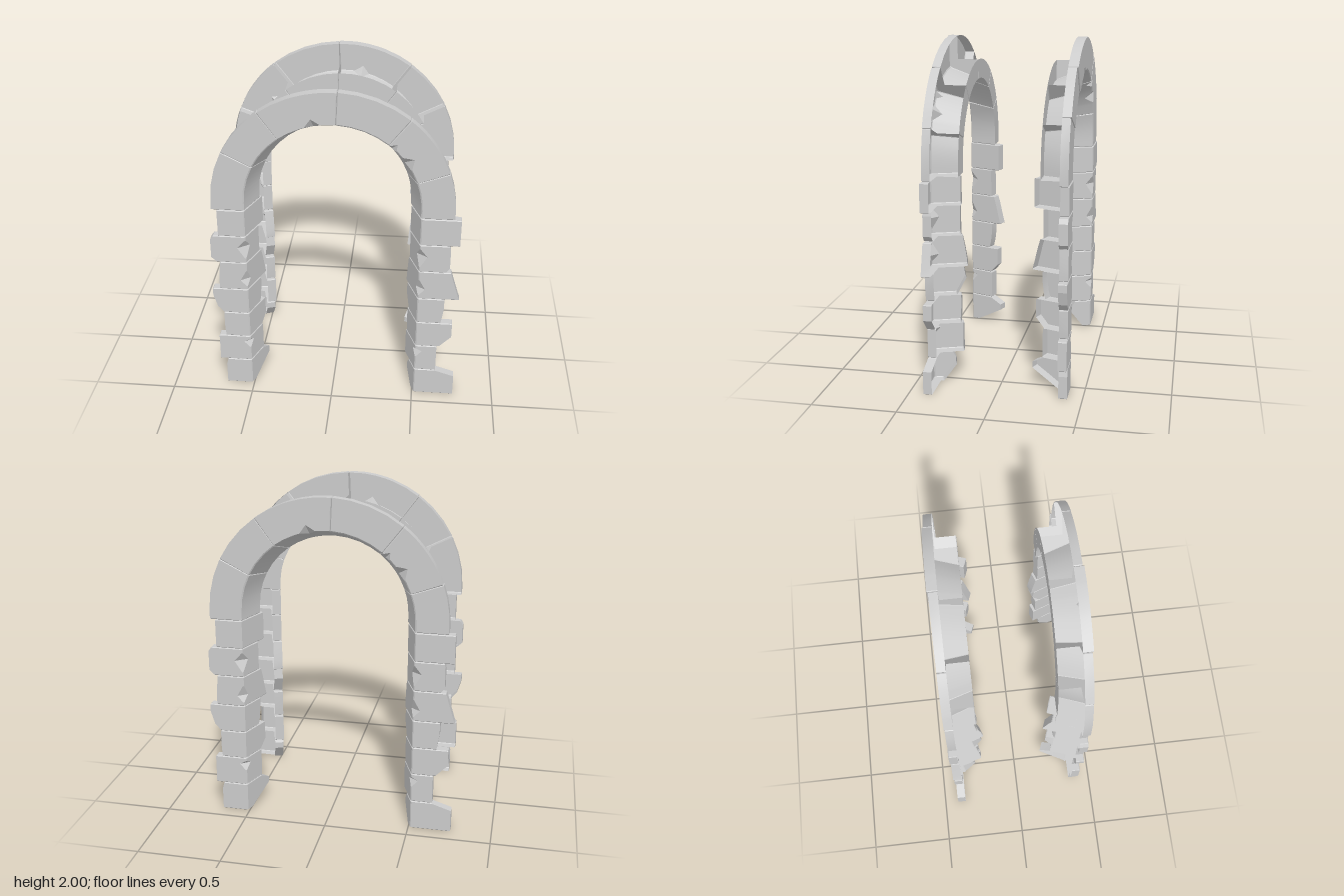
import * as THREE from 'three';
import { toCreasedNormals } from 'three/addons/utils/BufferGeometryUtils.js';

// Stones are shells, open at the back of the L
const stone = new THREE.MeshStandardMaterial({ color: 0xcccccc, side: THREE.DoubleSide });
const SPRING = 1.3; // height of the arch centre
const rad = THREE.MathUtils.degToRad;

// Skins seven-cornered L-shaped rings, leaving the two inner walls open, and caps both ends
function loft(rings, name, mirrored = false) {
  const pos = [];
  const tri = (a, b, c) => (mirrored ? pos.push(...a, ...c, ...b) : pos.push(...a, ...b, ...c));
  for (let i = 0; i < rings.length - 1; i++) {
    const p = rings[i], q = rings[i + 1];
    for (const [j, k] of [[0, 1], [1, 2], [2, 3], [5, 6], [6, 0]]) {
      tri(p[j], p[k], q[k]);
      tri(p[j], q[k], q[j]);
    }
  }
  const s = rings[0], e = rings[rings.length - 1];
  for (const [a, b, c] of [[1, 2, 3], [1, 3, 4], [0, 1, 4], [0, 4, 5], [0, 5, 6]]) {
    tri(s[c], s[b], s[a]);
    tri(e[a], e[b], e[c]);
  }
  const geo = new THREE.BufferGeometry();
  geo.setAttribute('position', new THREE.Float32BufferAttribute(pos, 3));
  const mesh = new THREE.Mesh(toCreasedNormals(geo, 0.2), stone);
  mesh.name = name;
  return mesh;
}

// The splayed reveal: distance from the axis at depth z
const reveal = z => 0.51 - 0.37 * (0.41 - z);

// Plan of a pillar stone: face plate plus a slanted return reaching back to z
function pillarSection(outer, reach, chip, inset) {
  const face = 0.413 - inset, c = Math.max(chip, 0.005) + inset;
  const zf = Math.min(reach + 0.02 + inset, 0.37), xf = reveal(zf) + inset;
  return [
    [reveal(face - c) + inset, face - c],
    [0.511 + c, face],
    [outer - inset, face],
    [outer - inset, 0.362],
    [0.55, 0.362],
    [xf + 0.053, Math.min(zf - 0.02, 0.352)],
    [xf, zf],
  ];
}

// levels: [y, outer x, return depth, chip]; the ends get a small bevel
function pillarStone(levels, side, name) {
  const ring = ([y, o, r, c = 0], inset, dy) =>
    pillarSection(o, r, c, inset).map(([x, z]) => [x * side, y + dy, z]);
  const first = levels[0], last = levels[levels.length - 1];
  return loft([
    ring(first, 0.004, 0),
    ring(first, 0, 0.004),
    ...levels.slice(1, -1).map(l => ring(l, 0, 0)),
    ring(last, 0, -0.004),
    ring(last, 0.004, 0),
  ], name, side < 0);
}

// Stones from the ground up
const leftStones = [
  [[0, 0.755, 0.34], [0.1, 0.755, 0.27], [0.14, 0.755, 0.27], [0.18, 0.64, 0.29]],
  [[0.182, 0.64, 0.225], [0.28, 0.64, 0.225], [0.32, 0.64, 0.225, 0.04], [0.34, 0.64, 0.225], [0.361, 0.64, 0.225]],
  [[0.363, 0.655, 0.24], [0.44, 0.725, 0.235], [0.535, 0.725, 0.235]],
  [[0.537, 0.655, 0.26], [0.64, 0.67, 0.21], [0.708, 0.67, 0.22]],
  [[0.71, 0.755, 0.2], [0.735, 0.747, 0.2], [0.775, 0.735, 0.205, 0.04], [0.84, 0.715, 0.215], [0.897, 0.7, 0.225]],
  [[0.899, 0.67, 0.235], [0.93, 0.69, 0.235], [1.0, 0.69, 0.235, 0.045], [1.05, 0.69, 0.235], [1.077, 0.685, 0.235]],
  [[1.079, 0.74, 0.23], [1.25, 0.74, 0.23]],
];
const rightStones = [
  [[0, 0.67, 0.345], [0.1, 0.67, 0.18], [0.137, 0.67, 0.18], [0.18, 0.66, 0.25]],
  [[0.182, 0.705, 0.245], [0.28, 0.705, 0.245], [0.32, 0.705, 0.245, 0.04], [0.34, 0.705, 0.245], [0.361, 0.705, 0.245]],
  [[0.363, 0.66, 0.25], [0.42, 0.665, 0.203], [0.535, 0.665, 0.203]],
  [[0.537, 0.665, 0.26], [0.58, 0.7, 0.25], [0.66, 0.725, 0.24], [0.708, 0.725, 0.24]],
  [[0.71, 0.68, 0.18], [0.735, 0.68, 0.185], [0.775, 0.68, 0.195, 0.04], [0.84, 0.675, 0.21], [0.897, 0.67, 0.225]],
  [[0.899, 0.69, 0.245], [0.93, 0.72, 0.245], [1.0, 0.72, 0.245, 0.05], [1.05, 0.72, 0.245], [1.077, 0.705, 0.245]],
  [[1.079, 0.67, 0.19], [1.25, 0.67, 0.19]],
];

// Radial section of the arch as [radius, z]
function archSection(face, chip, inset) {
  const c = Math.max(chip, 0.005) + inset, f = face - inset;
  return [
    [reveal(f - c) + inset, f - c],
    [0.511 + c, f],
    [0.702 - inset, f],
    [0.702 - inset, 0.362],
    [0.562, 0.362],
    [0.562, 0.235 + inset],
    [0.446 + inset, 0.235 + inset],
  ];
}

// Sweeps from angle a to b in degrees; drop lengthens an end down to the pillar.
// chips: [angle, size, half width in degrees]
function archStone({ a, b, face, chips = [], drop }, name) {
  const ring = (deg, chip, inset, down = 0) =>
    archSection(face, chip, inset).map(([r, z]) =>
      [r * Math.cos(rad(deg)), SPRING - down + r * Math.sin(rad(deg)), z]);
  const stops = new Map();
  const steps = Math.ceil((b - a) / 9);
  for (let i = 1; i < steps; i++) stops.set(a + (b - a) * i / steps, 0);
  for (const [at, size, half] of chips) {
    for (const d of [...stops.keys()]) if (Math.abs(d - at) < half + 0.5) stops.delete(d);
    stops.set(at - half, 0).set(at, size).set(at + half, 0);
  }
  const rings = [...stops].sort((p, q) => p[0] - q[0]).map(([d, c]) => ring(d, c, 0));
  if (drop === 'start') rings.unshift(ring(a, 0, 0.004, 0.048), ring(a, 0, 0, 0.044), ring(a, 0, 0));
  else rings.unshift(ring(a + 0.05, 0, 0.004), ring(a + 0.4, 0, 0));
  if (drop === 'end') rings.push(ring(b, 0, 0), ring(b, 0, 0, 0.044), ring(b, 0, 0.004, 0.048));
  else rings.push(ring(b - 0.4, 0, 0), ring(b - 0.05, 0, 0.004));
  return loft(rings, name);
}

const archStones = [
  { a: 0, b: 20, face: 0.41, drop: 'start' },
  { a: 20, b: 52, face: 0.413, chips: [[35, 0.05, 5], [48.5, 0.035, 2.5]] },
  { a: 52, b: 87.5, face: 0.412 },
  { a: 87.5, b: 126, face: 0.42, chips: [[102, 0.045, 5]] },
  { a: 126, b: 153, face: 0.413 },
  { a: 153, b: 180, face: 0.41, drop: 'end' },
];

function archway(name) {
  const g = new THREE.Group();
  g.name = name;
  leftStones.forEach((l, i) => g.add(pillarStone(l, 1, `leftPillarStone${i + 1}`)));
  rightStones.forEach((l, i) => g.add(pillarStone(l, -1, `rightPillarStone${i + 1}`)));
  archStones.forEach((s, i) => g.add(archStone(s, `archStone${i + 1}`)));
  return g;
}

export function createModel() {
  const model = new THREE.Group();
  model.name = 'stoneArchway';
  const back = archway('backArch');
  back.rotation.y = Math.PI; // same arch turned to face the rear
  model.add(archway('frontArch'), back);
  return model;
}
